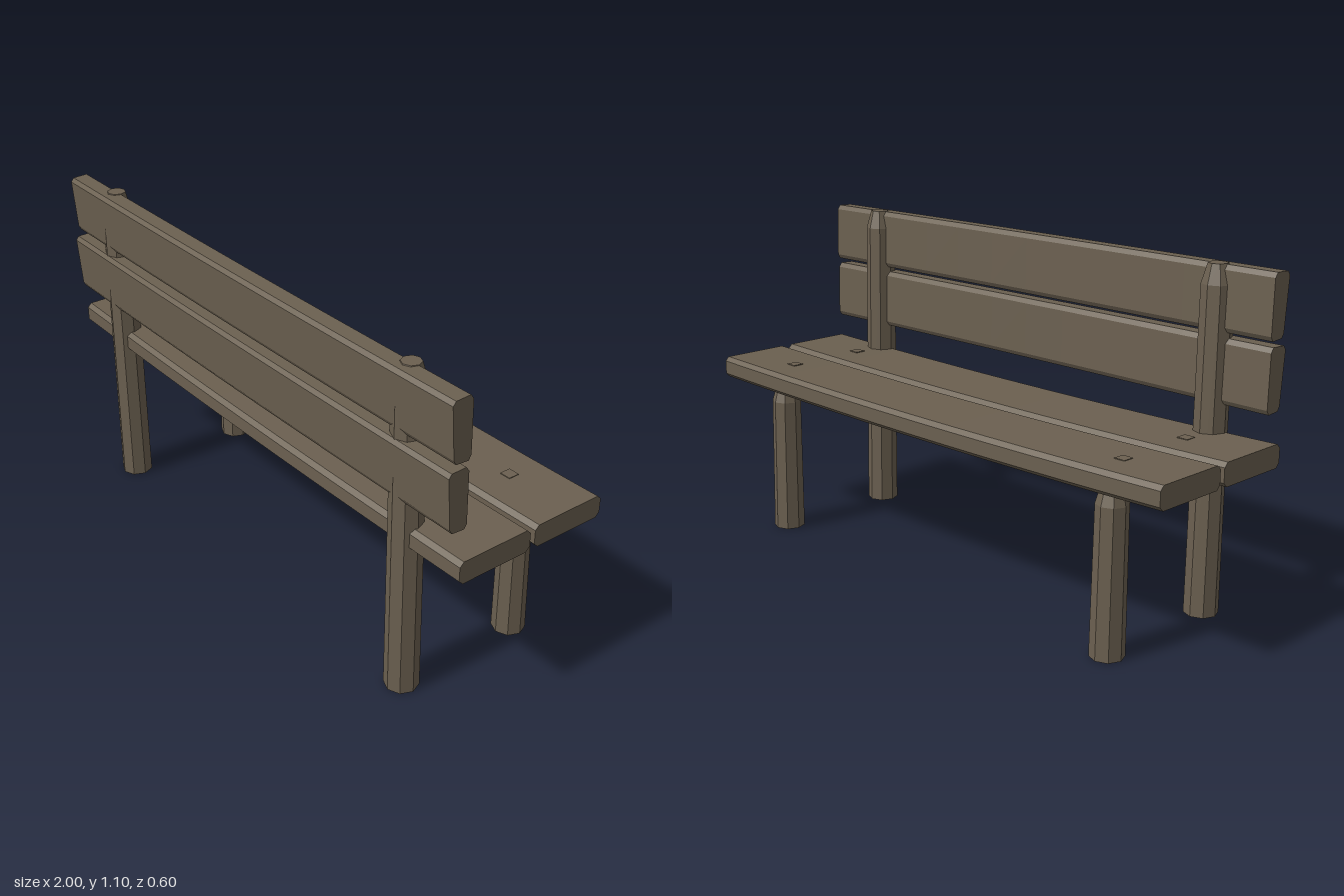
import * as THREE from 'three';

const wood = new THREE.MeshStandardMaterial({ color: 0x6b6050 });
wood.name = 'weathered wood';

// Adds one named mesh to a group
function add(group, name, geometry) {
  const mesh = new THREE.Mesh(geometry, wood);
  mesh.name = name;
  group.add(mesh);
}

// Plank along x from a (z, y) outline, bent by (bowZ, bowY) at mid-length
function plank(outline, x0, x1, bowZ, bowY) {
  const shape = new THREE.Shape(outline.map(([z, y]) => new THREE.Vector2(-z, y)));
  const g = new THREE.ExtrudeGeometry(shape, { depth: x1 - x0, steps: 12, bevelEnabled: false });
  g.rotateY(Math.PI / 2);
  g.translate(x0, 0, 0);
  const p = g.attributes.position;
  for (let i = 0; i < p.count; i++) {
    const k = 1 - p.getX(i) ** 2;
    p.setY(i, p.getY(i) + bowY * k);
    p.setZ(i, p.getZ(i) + bowZ * k);
  }
  g.computeVertexNormals();
  return g;
}

// Eight-sided post through rings of [x, y, z, radius], closed at both ends
function post(rings) {
  const sides = 8, v = [];
  const at = ([x, y, z, r], i) => {
    const a = (i / sides) * Math.PI * 2;
    return [x + r * Math.sin(a), y, z + r * Math.cos(a)];
  };
  const first = rings[0], last = rings[rings.length - 1];
  for (let i = 0; i < sides; i++) {
    for (let j = 0; j < rings.length - 1; j++) {
      const a = at(rings[j], i), b = at(rings[j], i + 1);
      const c = at(rings[j + 1], i + 1), d = at(rings[j + 1], i);
      v.push(...a, ...b, ...c, ...a, ...c, ...d);
    }
    v.push(...first.slice(0, 3), ...at(first, i + 1), ...at(first, i));
    v.push(...last.slice(0, 3), ...at(last, i), ...at(last, i + 1));
  }
  const g = new THREE.BufferGeometry();
  g.setAttribute('position', new THREE.Float32BufferAttribute(v, 3));
  g.computeVertexNormals();
  return g;
}

export function createModel() {
  const bench = new THREE.Group();
  bench.name = 'bench';

  // Two sagging seat planks with chamfered edges
  for (const [name, z0, z1] of [['rearSeatPlank', -0.014, 0.254], ['frontSeatPlank', -0.298, -0.032]]) {
    const c = 0.014, y0 = 0.523, y1 = 0.597;
    add(bench, name, plank([
      [z0, y0 + c], [z0 + c, y0], [z1 - c, y0], [z1, y0 + c],
      [z1, y1 - c], [z1 - c, y1], [z0 + c, y1], [z0, y1 - c],
    ], -1, 1, 0, -0.013));
  }

  // Two leaning backrest planks, bowed outwards
  for (const [name, y] of [['upperBackPlank', 0.9], ['lowerBackPlank', 0.682]]) {
    add(bench, name, plank([
      [0.213, y + 0.015], [0.222, y], [0.266, y + 0.003], [0.275, y + 0.018],
      [0.289, y + 0.185], [0.279, y + 0.198], [0.228, y + 0.2], [0.217, y + 0.185],
    ], -0.976, 0.974, 0.009, 0));
  }

  for (const [side, x, lean] of [['right', -0.765, -0.003], ['left', 0.755, -0.008]]) {
    // Tall rear post carrying the backrest
    add(bench, side + 'RearPost', post([
      [x, 0, 0.227, 0.055], [x + lean, 1.04, 0.234, 0.051], [x + lean, 1.102, 0.231, 0.031],
    ]));
    // Short front leg, tapered beneath the seat
    add(bench, side + 'FrontLeg', post([
      [x, 0, -0.22, 0.054], [x + lean / 2, 0.47, -0.216, 0.05], [x + lean / 2, 0.535, -0.213, 0.033],
    ]));
    // Square pegs showing on the seat
    for (const [end, z] of [['Rear', 0.115], ['Front', -0.17]]) {
      const peg = new THREE.BoxGeometry(0.038, 0.009, 0.038);
      peg.translate(x, 0.5895, z);
      add(bench, side + end + 'Peg', peg);
    }
  }
  return bench;
}
